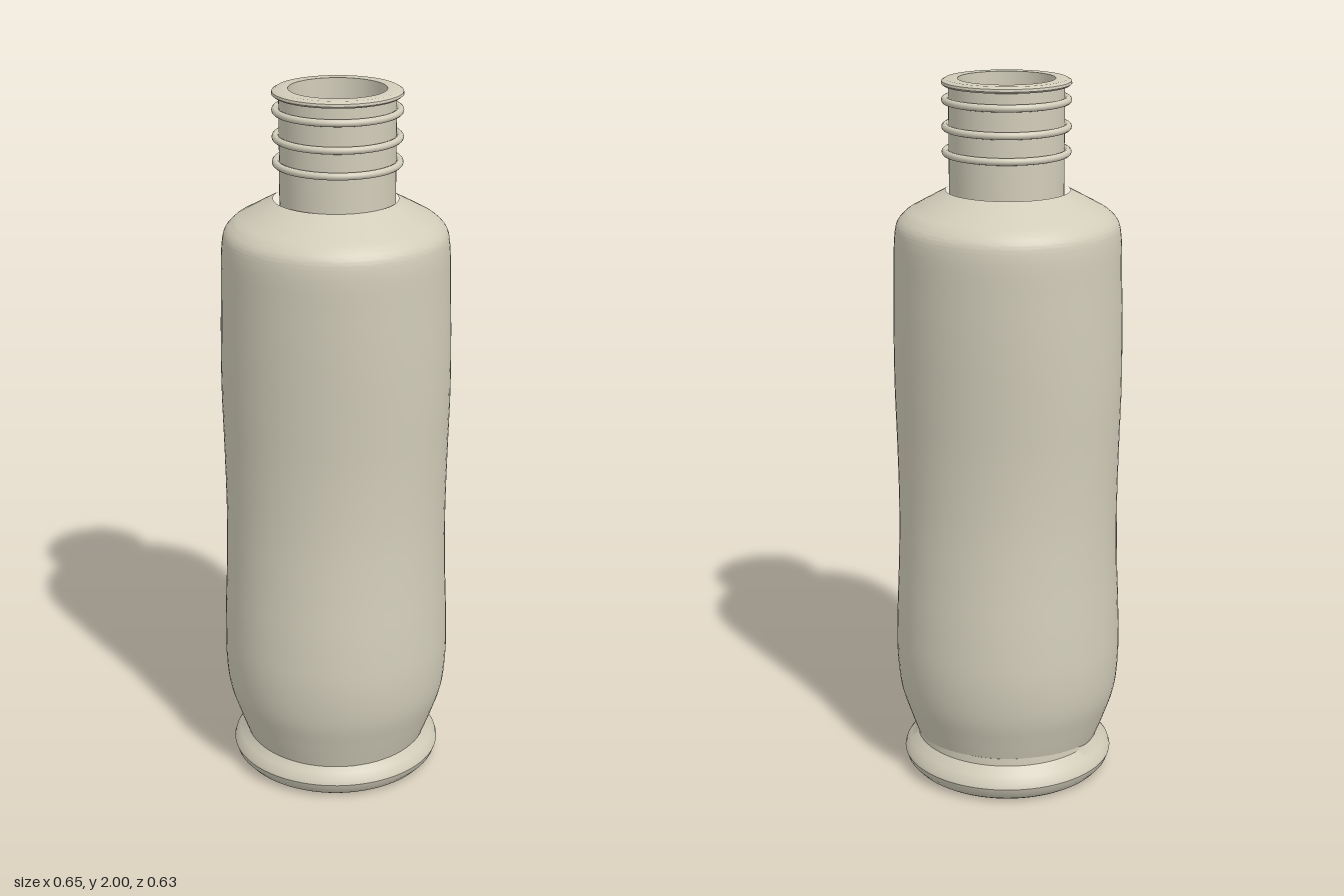
import * as THREE from 'three';
import { mergeVertices, toCreasedNormals } from 'three/addons/utils/BufferGeometryUtils.js';

const SEGMENTS = 72;

// Lathe a profile of [radius, height], optionally move its vertices, keep hard edges crisp
function turned(profile, crease, move) {
  const points = profile.map(([r, y]) => new THREE.Vector2(r, y));
  let geometry = new THREE.LatheGeometry(points, SEGMENTS);
  const position = geometry.attributes.position;
  if (move) {
    const p = new THREE.Vector3();
    for (let i = 0; i < position.count; i++) {
      move(p.fromBufferAttribute(position, i));
      position.setXYZ(i, p.x, p.y, p.z);
    }
  }
  geometry.deleteAttribute('normal');
  geometry.deleteAttribute('uv');
  geometry = mergeVertices(geometry, 1e-5);
  return toCreasedNormals(geometry, crease);
}

export function createModel() {
  const model = new THREE.Group();
  model.name = 'bottle';
  const plastic = new THREE.MeshStandardMaterial({ color: 0xd2cdba });
  plastic.name = 'warm grey plastic';

  const add = (name, geometry, parent = model) => {
    const mesh = new THREE.Mesh(geometry, plastic);
    mesh.name = name;
    parent.add(mesh);
    return mesh;
  };

  // Body: oval sections [half width, height, half depth], pinched front to back at the grip
  const sections = [
    [0.26, 0.09, 0.262], [0.288, 0.165, 0.284], [0.313, 0.245, 0.305],
    [0.323, 0.35, 0.315], [0.321, 0.48, 0.31], [0.315, 0.64, 0.297],
    [0.313, 0.8, 0.287], [0.316, 0.98, 0.286], [0.32, 1.15, 0.293],
    [0.319, 1.3, 0.301], [0.315, 1.45, 0.307], [0.31, 1.58, 0.309],
    [0.303, 1.612, 0.302], [0.28, 1.638, 0.279], [0.25, 1.656, 0.249],
    [0.17, 1.7, 0.167],
  ].map((s) => new THREE.Vector3(...s));
  const rows = new THREE.CatmullRomCurve3(sections, false, 'centripetal').getPoints(90);
  const profile = rows.map((s) => [s.x, s.y]);
  const depthRatio = new Map(rows.map((s) => [Math.fround(s.y), s.z / s.x]));
  add('body', turned(profile, 0.7, (p) => { p.z *= depthRatio.get(p.y); }));

  // Foot: flared ring whose upper edge rises slightly at the back
  const foot = add('foot', turned([
    [0, 0], [0.268, 0], [0.28, 0.008], [0.295, 0.025], [0.302, 0.045],
    [0.298, 0.058], [0.285, 0.075], [0.263, 0.1], [0.262, 0.102], [0.2, 0.102],
  ], 0.6, (p) => {
    if (p.y > 0.101) p.y += 0.02 * THREE.MathUtils.smoothstep(-p.z, 0.05, 0.16);
  }));
  foot.position.set(-0.002, 0, -0.01);

  // Neck: hollow tube with a rolled lip and a floor at shoulder height
  const neck = new THREE.Group();
  neck.name = 'neck';
  neck.position.set(0.006, 0, 0.008);
  model.add(neck);
  add('neckTube', turned([
    [0.157, 1.68], [0.157, 1.981], [0.17, 1.982], [0.176, 1.987], [0.175, 1.994],
    [0.165, 2], [0.132, 2], [0.132, 1.702], [0, 1.702],
  ], 0.8), neck);

  // Raised rings around the neck
  for (const y of [1.943, 1.871, 1.803]) {
    const ring = add('neckRing', new THREE.TorusGeometry(0.166, 0.01, 12, SEGMENTS), neck);
    ring.rotation.x = Math.PI / 2;
    ring.position.y = y;
  }
  return model;
}
